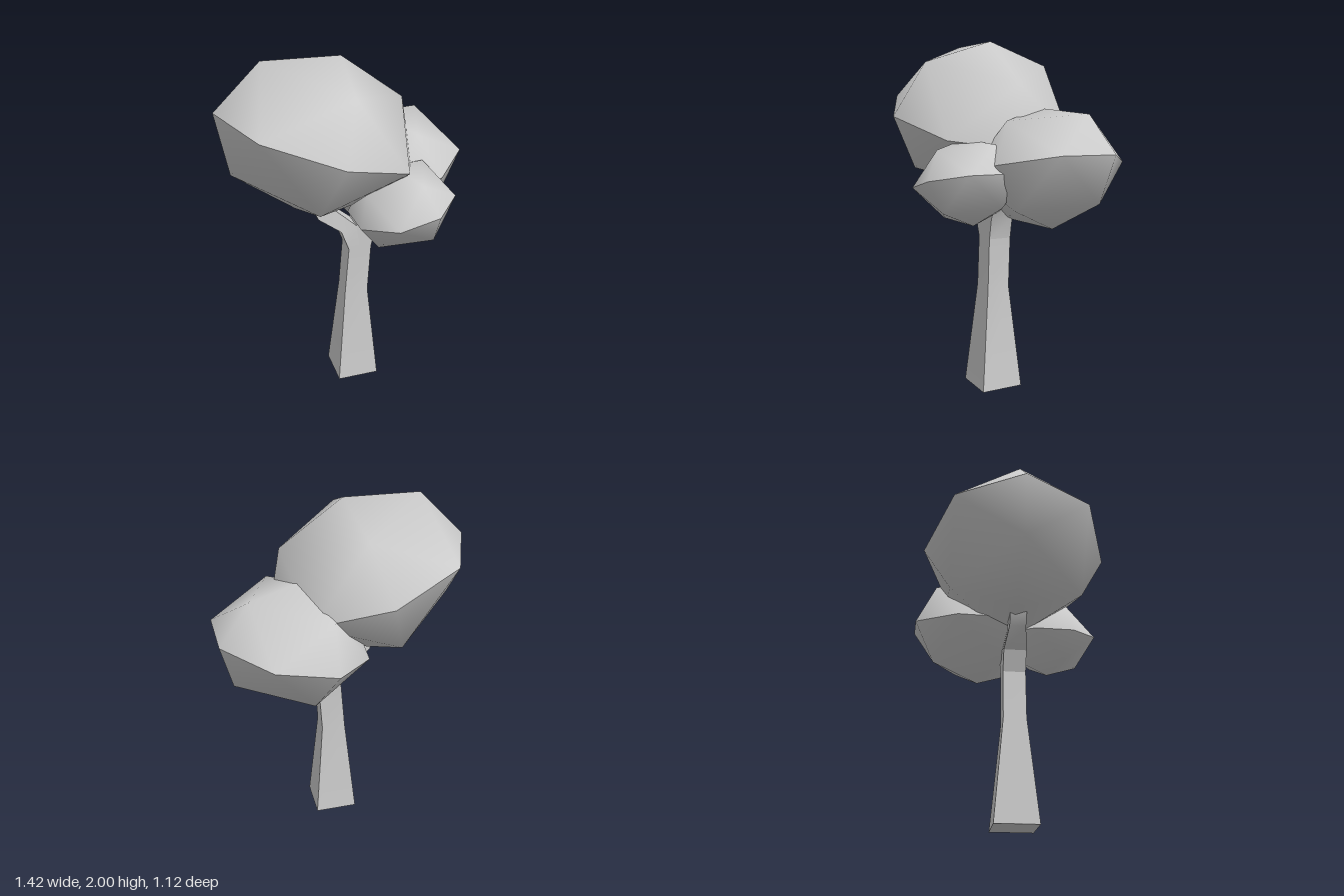
import * as THREE from 'three';
import { mergeVertices, toCreasedNormals } from 'three/addons/utils/BufferGeometryUtils.js';

const material = new THREE.MeshStandardMaterial({ color: 0xcccccc });

// Squashed, once-subdivided octahedron: smooth halves with a sharp rim around the equator
function foliage(name, [rx, ry, rz], position, spin, tilt) {
  const octa = new THREE.OctahedronGeometry(1, 1);
  octa.deleteAttribute('normal');
  octa.deleteAttribute('uv');
  const p = octa.attributes.position;
  const half = [];
  for (let i = 0; i < p.count; i += 3) {
    const side = Math.sign(p.getY(i) + p.getY(i + 1) + p.getY(i + 2));
    half.push(side, side, side);
  }
  // Keep the two halves apart while welding, so the rim stays sharp
  octa.setAttribute('half', new THREE.Float32BufferAttribute(half, 1));
  const ball = mergeVertices(octa);
  ball.deleteAttribute('half');
  ball.rotateY(spin);
  ball.scale(rx, ry, rz);
  ball.rotateZ(tilt);
  ball.computeVertexNormals();

  const mesh = new THREE.Mesh(ball, material);
  mesh.name = name;
  mesh.position.set(...position);
  return mesh;
}

// Four-sided limb; each section is [left x, left y, right x, right y, back z, front z]
function limb(name, sections) {
  const positions = [];
  const index = [];
  for (const [x0, y0, x1, y1, zb, zf] of sections) {
    positions.push(x0, y0, zf, x1, y1, zf, x1, y1, zb, x0, y0, zb);
  }
  for (let s = 0; s < sections.length - 1; s++) {
    for (let i = 0; i < 4; i++) {
      const a = s * 4 + i;
      const b = s * 4 + (i + 1) % 4;
      index.push(a, b, b + 4, a, b + 4, a + 4);
    }
  }
  // End caps
  const t = (sections.length - 1) * 4;
  index.push(0, 2, 1, 0, 3, 2, t, t + 1, t + 2, t, t + 2, t + 3);

  const geometry = new THREE.BufferGeometry();
  geometry.setAttribute('position', new THREE.Float32BufferAttribute(positions, 3));
  geometry.setIndex(index);
  const mesh = new THREE.Mesh(toCreasedNormals(geometry, 0.6), material);
  mesh.name = name;
  return mesh;
}

export function createModel() {
  const tree = new THREE.Group();
  tree.name = 'tree';

  // Tapered trunk that forks into two short branches
  const zb = -0.028, zf = 0.105;
  tree.add(
    limb('trunk', [
      [-0.085, 0, 0.165, 0, -0.085, 0.163],
      [-0.028, 0.6, 0.112, 0.6, zb, zf],
      [-0.005, 0.89, 0.13, 0.89, zb, zf],
    ]),
    limb('rightBranch', [
      [-0.005, 0.89, 0.06, 0.89, zb, zf],
      [-0.05, 1.01, 0.04, 1.04, zb, zf],
      [-0.18, 1.10, -0.06, 1.125, -0.01, 0.085],
      [-0.215, 1.178, -0.115, 1.178, -0.01, 0.085],
    ]),
    limb('leftBranch', [
      [0.06, 0.89, 0.13, 0.89, zb, zf],
      [0.04, 1.04, 0.155, 1.01, zb, zf],
      [0.1, 1.15, 0.22, 1.13, zb, zf],
    ]),
  );

  // Three leaning clumps of leaves
  tree.add(
    foliage('mainCrown', [0.577, 0.443, 0.54], [-0.16, 1.58, 0.02], 0, -0.31),
    foliage('backCrown', [0.442, 0.338, 0.44], [0.31, 1.297, -0.152], Math.PI / 8 + 0.04, 0.227),
    foliage('frontCrown', [0.298, 0.235, 0.303], [0.235, 1.232, 0.28], Math.PI / 8, 0.227),
  );
  return tree;
}
